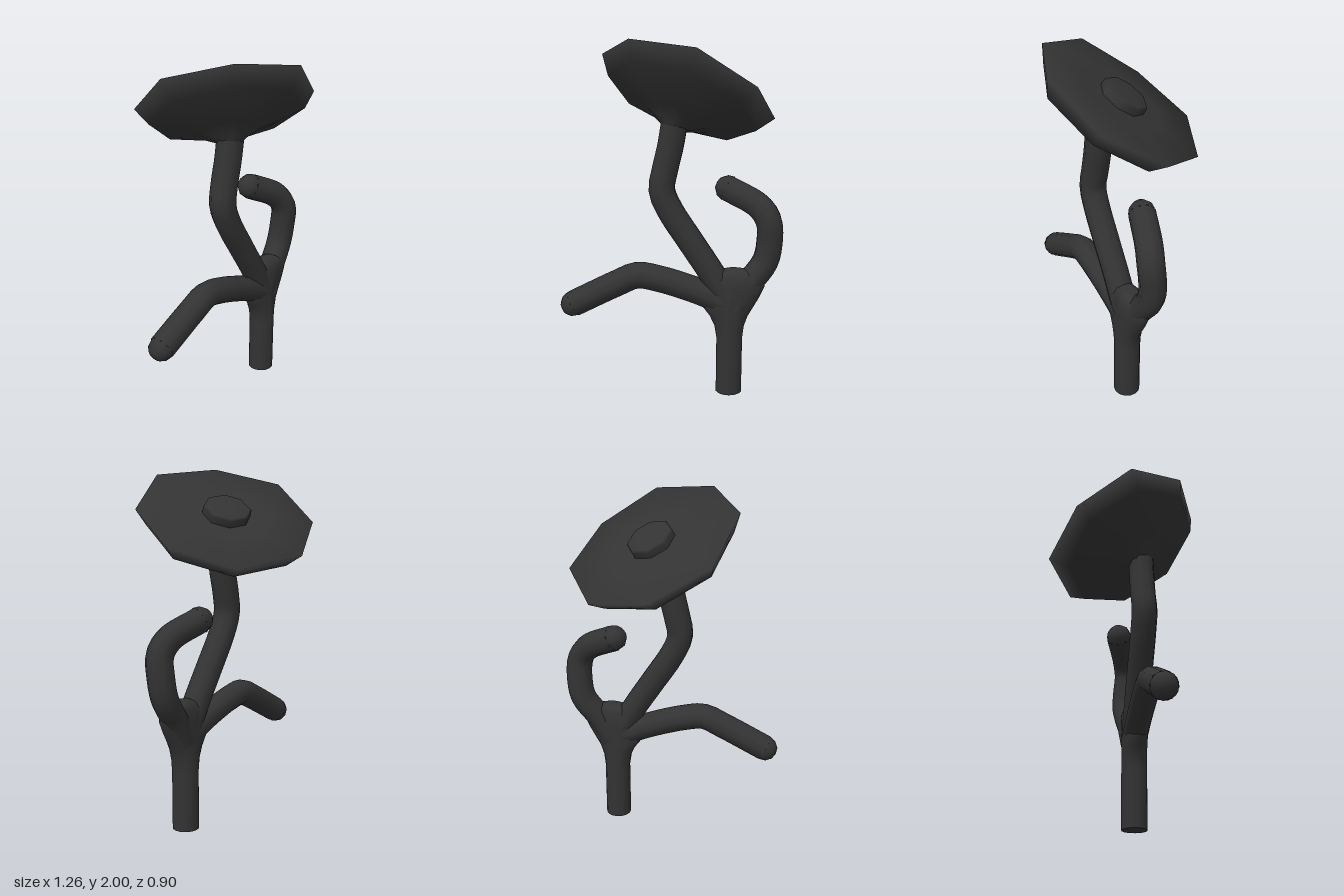
import * as THREE from 'three';

const R = 0.075;
const mat = new THREE.MeshStandardMaterial({ color: 0x333333, side: THREE.DoubleSide });
const v3 = (p) => new THREE.Vector3(...p);

function add(parent, name, geometry) {
  const mesh = new THREE.Mesh(geometry, mat);
  mesh.name = name;
  parent.add(mesh);
  return mesh;
}

// Round limb along a path, with an optional rounded tip
function limb(name, points, tip) {
  const group = new THREE.Group();
  group.name = name;
  const curve = new THREE.CatmullRomCurve3(points.map(v3));
  add(group, name + 'Tube', new THREE.TubeGeometry(curve, 24, R, 10));
  if (tip) {
    const cap = add(group, name + 'Tip', new THREE.SphereGeometry(R, 10, 3, 0, Math.PI * 2, 0, Math.PI / 2));
    cap.position.copy(curve.getPoint(1));
    cap.quaternion.setFromUnitVectors(new THREE.Vector3(0, 1, 0), curve.getTangent(1));
  }
  return group;
}

// Trunk: round column spreading sideways into the fork; rows are height, left x, right x, half depth
function trunkGeometry() {
  const rows = [
    [0, 0.262, 0.412, R], [0.33, 0.262, 0.412, R], [0.4, 0.25, 0.42, R], [0.46, 0.222, 0.44, R],
    [0.52, 0.175, 0.475, R], [0.58, 0.175, 0.508, R], [0.64, 0.18, 0.535, R],
    [0.69, 0.195, 0.53, 0.07], [0.72, 0.25, 0.48, 0.055], [0.735, 0.31, 0.41, 0.03]];
  const sides = 14;
  const geo = new THREE.CylinderGeometry(1, 1, rows.length - 1, sides, rows.length - 1);
  geo.translate(0, (rows.length - 1) / 2, 0);
  const p = geo.attributes.position;
  for (let i = 0; i < p.count; i++) {
    const [y, x0, x1, depth] = rows[Math.round(p.getY(i))];
    p.setXYZ(i, (x0 + x1) / 2 + p.getX(i) * (x1 - x0) / 2, y, 0.105 + p.getZ(i) * depth);
  }
  geo.computeVertexNormals();
  return geo;
}

// Eight-sided turned part
const turned = (profile) => new THREE.LatheGeometry(profile.map(([r, y]) => new THREE.Vector2(r, y)), 8);

// Flower cup with a closed top; every second rim corner sits slightly lower and further in
function cupGeometry() {
  const geo = turned([[0.03, -0.29], [0.085, -0.24], [0.17, -0.195], [0.43, -0.107], [0.506, 0], [0.25, -0.004], [0, -0.006]]);
  const p = geo.attributes.position;
  for (let i = 0; i < p.count; i++) {
    const x = p.getX(i), z = p.getZ(i);
    const corner = Math.round(Math.atan2(x, z) / (Math.PI / 4));
    if (Math.hypot(x, z) > 0.5 && corner % 2 !== 0) p.setXYZ(i, x * 0.98, p.getY(i) - 0.015, z * 0.98);
  }
  return geo;
}

export function createModel() {
  const model = new THREE.Group();
  model.name = 'flowerPlant';

  add(model, 'trunk', trunkGeometry());

  model.add(limb('flowerStem', [
    [0.32, 0.56, 0.105], [0.225, 0.72, 0.105], [0.11, 0.895, 0.105], [0.0, 1.065, 0.105],
    [-0.047, 1.18, 0.105], [-0.028, 1.3, 0.1], [0.0, 1.42, 0.1], [0.02, 1.54, 0.1]]));
  model.add(limb('rightBranch', [
    [0.34, 0.52, 0.105], [0.22, 0.575, 0.105], [0.1, 0.62, 0.105], [-0.07, 0.67, 0.105],
    [-0.19, 0.687, 0.105], [-0.3, 0.64, 0.105], [-0.555, 0.512, 0.105]], true));
  model.add(limb('leftBranch', [
    [0.36, 0.5, 0.105], [0.43, 0.63, 0.095], [0.53, 0.77, 0.08], [0.552, 0.88, 0.085],
    [0.545, 1.01, 0.095], [0.49, 1.09, 0.075], [0.32, 1.175, 0.012]], true));

  // Flower head, tilted on the stem
  const head = new THREE.Group();
  head.name = 'flowerHead';
  const axis = v3([0.324, 0.834, -0.449]).normalize();
  const side = v3([0.057, 0.22, 0.45]);
  side.addScaledVector(axis, -side.dot(axis)).normalize();
  const across = new THREE.Vector3().crossVectors(axis, side);
  head.quaternion.setFromRotationMatrix(new THREE.Matrix4().makeBasis(across, axis, side));
  head.position.set(0.093, 1.74, 0);
  add(head, 'petalCup', cupGeometry());
  add(head, 'flowerCentre', turned([[0.134, -0.02], [0.134, 0.032], [0.122, 0.043], [0.07, 0.048], [0, 0.05]]));
  model.add(head);

  return model;
}
